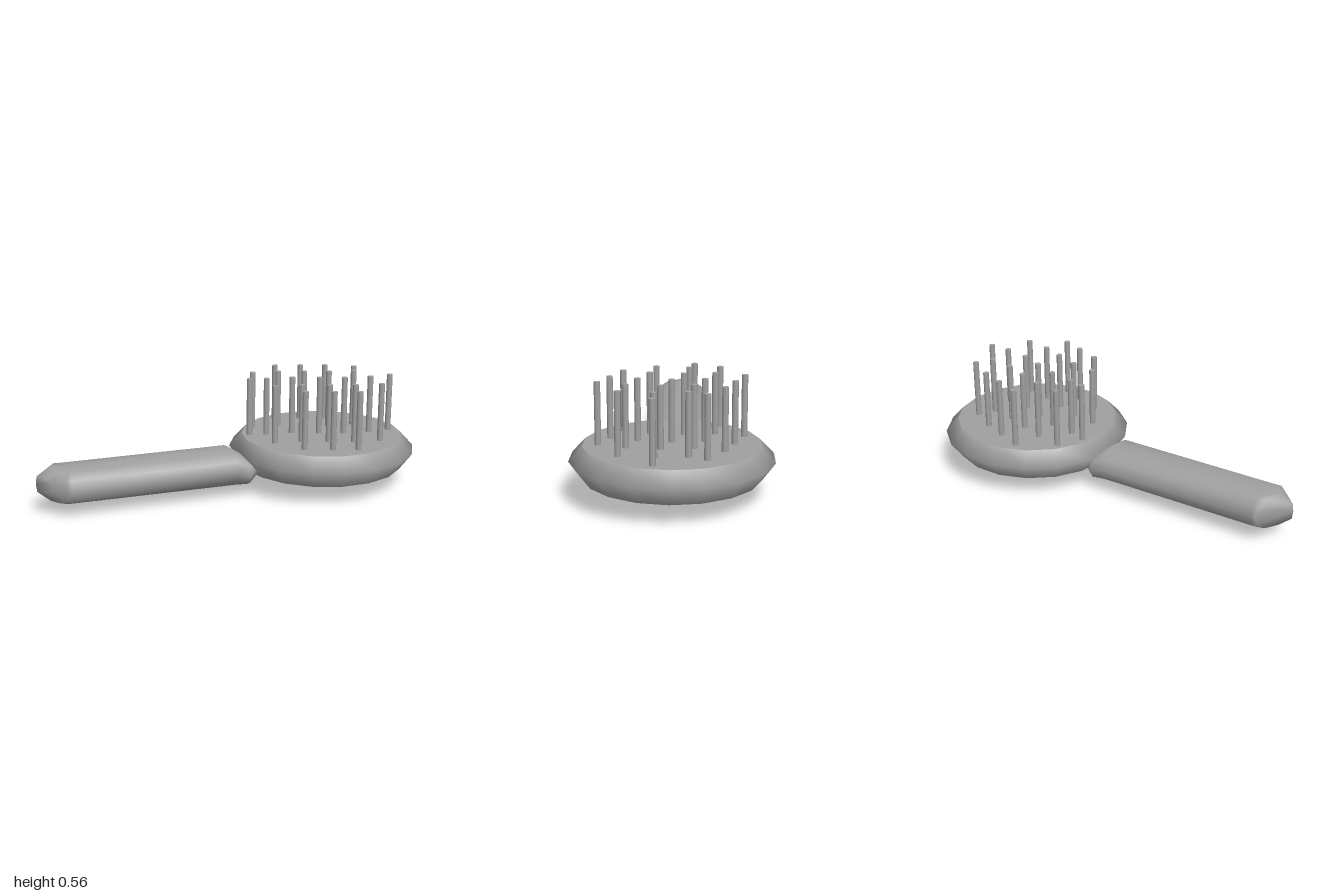
import * as THREE from 'three';
import { mergeVertices } from 'three/addons/utils/BufferGeometryUtils.js';

const HEAD_X = 0.515;
const NECK_X = 0.058;
const material = new THREE.MeshStandardMaterial({ color: 0xa0a0a0 });

function addMesh(parent, name, geometry) {
  const mesh = new THREE.Mesh(geometry, material);
  mesh.name = name;
  parent.add(mesh);
  return mesh;
}

// Welds seams and poles so the shading runs smoothly across them
function smooth(geometry) {
  geometry.deleteAttribute('normal');
  geometry.deleteAttribute('uv');
  const welded = mergeVertices(geometry);
  welded.computeVertexNormals();
  return welded;
}

// 18-sided turned surface, cut flat where the handle joins
function turned(profile) {
  const points = profile.map(([r, y]) => new THREE.Vector2(r, y));
  const geometry = new THREE.LatheGeometry(points, 18).rotateY(Math.PI / 2);
  const position = geometry.attributes.position;
  for (let i = 0; i < position.count; i++) {
    position.setX(i, Math.max(position.getX(i), NECK_X - HEAD_X));
  }
  return smooth(geometry);
}

// Rounded 12-sided sections, swept along x from the wedge tip to the head
function handleGeometry() {
  const SIDES = 12;
  // x, bottom y, top y, half width, how far the sides trail behind the centre
  const rings = [
    [-1.0, 0.16, 0.16, 0, 0],
    [-0.995, 0.12, 0.2, 0.07, 0.06],
    [-0.93, 0.065, 0.239, 0.14, 0.06],
    [-0.85, 0.058, 0.238, 0.14, 0],
    [0.0, 0.049, 0.234, 0.14, 0],
    [0.065, 0.048, 0.192, 0.14, 0],
    [0.115, 0.1, 0.19, 0.12, 0],
    [0.13, 0.15, 0.15, 0, 0],
  ];
  const round = (v) => Math.sign(v) * Math.abs(v) ** 0.8;
  const positions = [];
  for (const [x, low, high, halfWidth, trail] of rings) {
    for (let j = 0; j < SIDES; j++) {
      const a = (j / SIDES) * Math.PI * 2;
      const c = round(Math.cos(a));
      positions.push(
        x + trail * Math.abs(c),
        (low + high) / 2 + ((high - low) / 2) * round(Math.sin(a)),
        halfWidth * c
      );
    }
  }
  const index = [];
  for (let i = 0; i < rings.length - 1; i++) {
    for (let j = 0; j < SIDES; j++) {
      const k = (j + 1) % SIDES;
      const a = i * SIDES + j, b = i * SIDES + k;
      const c = a + SIDES, d = b + SIDES;
      if (i < rings.length - 2) index.push(a, c, d);
      if (i > 0) index.push(a, d, b);
    }
  }
  const geometry = new THREE.BufferGeometry();
  geometry.setAttribute('position', new THREE.Float32BufferAttribute(positions, 3));
  geometry.setIndex(index);
  return smooth(geometry);
}

export function createModel() {
  const brush = new THREE.Group();
  brush.name = 'hairbrush';

  // Head: shallow dome below, rounded rim, flat bristle pad on top
  const head = new THREE.Group();
  head.name = 'head';
  head.position.x = HEAD_X;
  brush.add(head);
  addMesh(head, 'headBack', turned([[0, 0], [0.214, 0.038], [0.42, 0.104]]));
  addMesh(head, 'headRim', turned([[0.42, 0.104], [0.485, 0.192], [0.42, 0.262]]));
  addMesh(head, 'bristlePad', turned([[0.42, 0.262], [0, 0.262]]));

  addMesh(brush, 'handle', handleGeometry());

  // Bristles: x, z of each peg
  const spots = [
    [0.39, -0.337], [0.52, -0.29], [0.645, -0.243], [0.213, -0.222],
    [0.35, -0.198], [0.48, -0.15], [0.78, -0.165], [0.147, -0.097],
    [0.232, -0.073], [0.367, -0.05], [0.602, -0.103], [0.737, -0.08],
    [0.5, 0.003], [0.62, 0.05], [0.757, 0.073], [0.87, 0.073],
    [0.213, 0.088], [0.35, 0.113], [0.48, 0.163], [0.602, 0.21],
    [0.737, 0.235], [0.31, 0.242], [0.442, 0.295], [0.56, 0.342],
  ];
  const bristles = new THREE.Group();
  bristles.name = 'bristles';
  brush.add(bristles);
  const peg = new THREE.CylinderGeometry(0.015, 0.015, 0.312, 12);
  for (const [x, z] of spots) addMesh(bristles, 'bristle', peg).position.set(x, 0.406, z);

  return brush;
}
